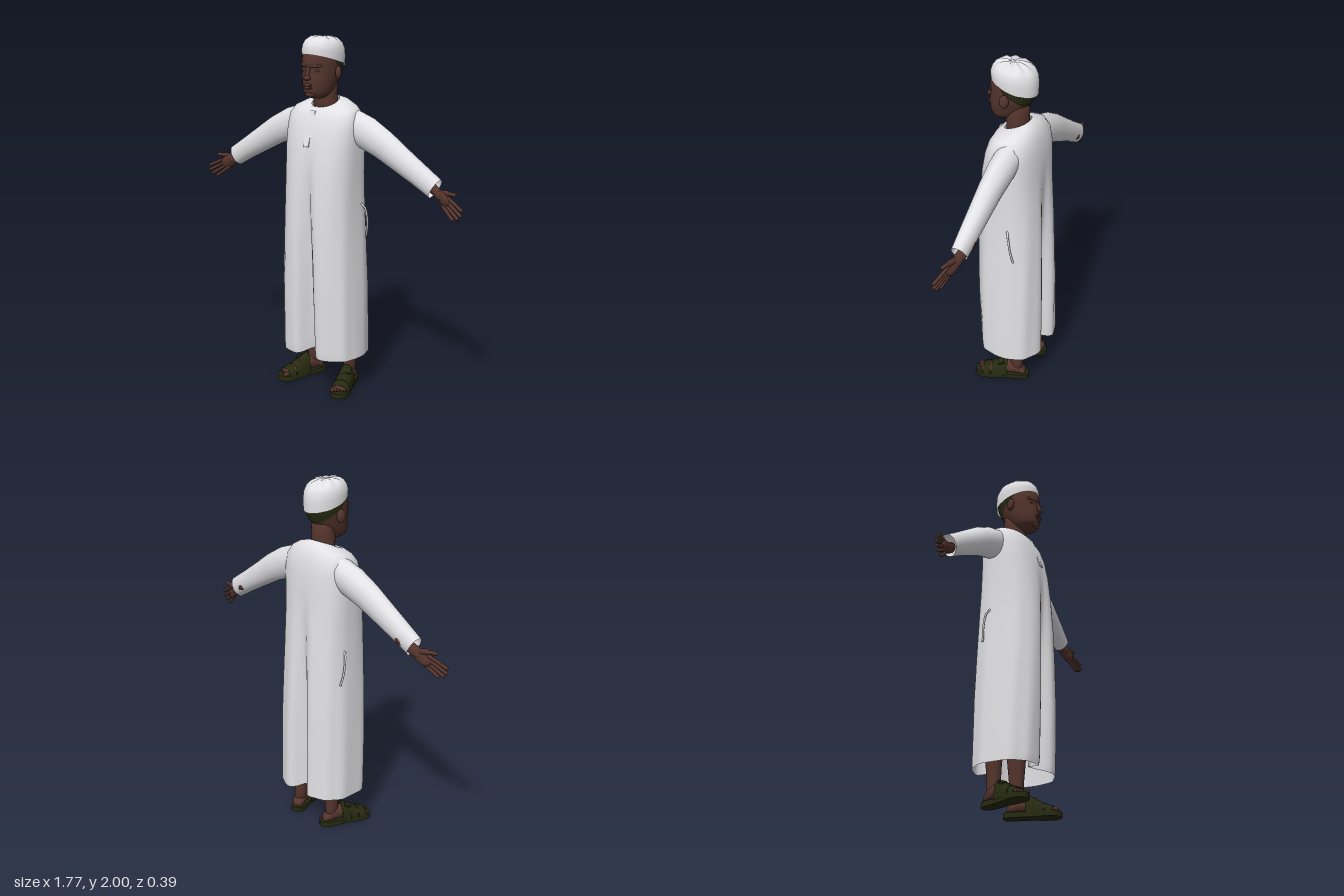
import * as THREE from 'three';

const V = (x, y, z) => new THREE.Vector3(x, y, z);
const mat = (name, color, side = THREE.FrontSide) => {
  const m = new THREE.MeshStandardMaterial({ color, side });
  m.name = name;
  return m;
};

// Surface through a list of equally long point rings
function loft(rings, closed = true) {
  const n = rings[0].length, pos = [], idx = [];
  rings.forEach(r => r.forEach(p => pos.push(p.x, p.y, p.z)));
  for (let i = 0; i < rings.length - 1; i++) {
    for (let j = 0; j < (closed ? n : n - 1); j++) {
      const k = (j + 1) % n, a = i * n, b = a + n;
      idx.push(a + j, b + j, a + k, b + j, b + k, a + k);
    }
  }
  const g = new THREE.BufferGeometry();
  g.setAttribute('position', new THREE.Float32BufferAttribute(pos, 3));
  g.setIndex(idx);
  g.computeVertexNormals();
  return g;
}

// Closes both ends of a ring list
function capped(rings) {
  const end = r => {
    const c = r.reduce((s, p) => s.add(p), V(0, 0, 0)).divideScalar(r.length);
    return r.map(() => c.clone());
  };
  return [end(rings[0]), ...rings, end(rings[rings.length - 1])];
}
const ring = (n, f) => Array.from({ length: n }, (_, j) => f(j / n * Math.PI * 2));

// Horizontal oval: half width, front z, back z, tilt down toward the front
const oval = (n, y, w, zf, zb, tilt = 0) => ring(n, a => {
  const z = (zf + zb) / 2 + (zf - zb) / 2 * Math.sin(a);
  return V(w * Math.cos(a), y - tilt * z, z);
});

// Head profile: y, half width, front z, back z
const HEAD = [
  [1.668, 0.035, 0.115, 0.04], [1.685, 0.062, 0.145, 0.01], [1.71, 0.076, 0.156, -0.02],
  [1.75, 0.086, 0.16, -0.055], [1.79, 0.094, 0.158, -0.075], [1.825, 0.098, 0.152, -0.09],
  [1.855, 0.1, 0.157, -0.097], [1.9, 0.101, 0.15, -0.1], [1.95, 0.09, 0.125, -0.085]];
function headAt(y) {
  let i = 0;
  while (i < HEAD.length - 2 && y > HEAD[i + 1][0]) i++;
  const t = (y - HEAD[i][0]) / (HEAD[i + 1][0] - HEAD[i][0]);
  return HEAD[i].map((v, k) => v + (HEAD[i + 1][k] - v) * t);
}

// Robe profile: y, half width, front z, back z, fold depth, tilt
const ROBE = [
  [0.205, 0.243, 0.188, -0.197, 1, 0], [0.25, 0.243, 0.194, -0.196, 1, 0],
  [0.6, 0.236, 0.205, -0.193, 0.85, 0], [0.85, 0.225, 0.206, -0.186, 0.65, 0],
  [1.05, 0.217, 0.203, -0.178, 0.4, 0], [1.25, 0.215, 0.19, -0.165, 0.15, 0],
  [1.4, 0.222, 0.17, -0.155, 0, 0], [1.5, 0.222, 0.148, -0.153, 0, 0],
  [1.57, 0.214, 0.125, -0.14, 0, 0.05], [1.612, 0.19, 0.105, -0.122, 0, 0.12],
  [1.637, 0.135, 0.085, -0.098, 0, 0.22], [1.645, 0.076, 0.07, -0.066, 0, 0.4]];
const sp = (v, e) => Math.sign(v) * Math.abs(v) ** e;

export function createModel() {
  const root = new THREE.Group();
  root.name = 'robedFigure';
  const cloth = mat('white cloth', 0xe2e2e6, THREE.DoubleSide);
  const skin = mat('brown skin', 0x55352d);
  const dark = mat('dark olive', 0x262a10, THREE.DoubleSide);

  const add = (name, geo, m, parent = root) => {
    const o = new THREE.Mesh(geo, m);
    o.name = name;
    parent.add(o);
    return o;
  };
  const ball = (name, m, p, sx, sy, sz) => {
    const o = add(name, new THREE.SphereGeometry(1, 16, 12), m);
    o.position.copy(p);
    o.scale.set(sx, sy, sz);
    return o;
  };
  const capsule = (name, m, a, b, r, flat = 1) => {
    const d = b.clone().sub(a);
    const o = add(name, new THREE.CapsuleGeometry(r, d.length(), 4, 10), m);
    o.position.copy(a).lerp(b, 0.5);
    o.quaternion.setFromUnitVectors(V(0, 1, 0), d.normalize());
    o.scale.z = flat;
    return o;
  };

  // Long robe with a deep fold between the legs, front and back
  add('robe', loft(ROBE.map(([y, w, zf, zb, fold, tilt]) => ring(96, a => {
    const c = Math.cos(a), s = Math.sin(a);
    const ripple = 1 + 0.012 * fold * Math.cos(11 * a + y * 2);
    const x = w * sp(c, 0.85) * ripple;
    const e = y > 1.6 ? 0.95 : 0.72;
    const notch = fold * Math.exp(-((x / 0.042) ** 2)) * (s > 0 ? 0.11 : 0.09);
    const z = (s > 0 ? zf : -zb) * sp(s, e) * ripple - Math.sign(s) * notch;
    return V(x, y - tilt * z + (y < 0.3 ? notch * 0.25 : 0), z);
  }))), cloth);
  const placket = add('placket', new THREE.BoxGeometry(0.035, 0.2, 0.008), cloth);
  placket.position.set(-0.004, 1.505, 0.139);
  placket.rotation.x = -0.33;

  // Neck and head
  add('neck', loft(capped([
    oval(24, 1.56, 0.075, 0.06, -0.065), oval(24, 1.64, 0.07, 0.062, -0.06),
    oval(24, 1.69, 0.066, 0.07, -0.058), oval(24, 1.78, 0.07, 0.06, -0.06)])), skin);
  add('head', loft(capped(HEAD.map(r => oval(32, ...r)))), skin);
  capsule('noseBridge', skin, V(0, 1.835, 0.15), V(0, 1.79, 0.165), 0.011);
  ball('noseTip', skin, V(0, 1.782, 0.163), 0.022, 0.014, 0.018);
  ball('upperLip', skin, V(0, 1.743, 0.158), 0.03, 0.008, 0.013);
  ball('lowerLip', skin, V(0, 1.729, 0.156), 0.026, 0.008, 0.013);
  ball('chin', skin, V(0, 1.693, 0.135), 0.032, 0.018, 0.02);

  // Hair around the back, its lower edge falling toward the nape
  add('hair', loft([0, 0.35, 0.7, 1].map(t => Array.from({ length: 33 }, (_, j) => {
    const a = Math.PI * (0.9 + 1.2 * j / 32);
    const low = 1.765 + 0.075 * (1 + Math.sin(a)) + (Math.sin(a) > 0 ? 0.1 * Math.sin(a) : 0);
    const y = low + (1.91 - low) * t;
    const [, w, zf, zb] = headAt(y);
    return V((w + 0.005) * Math.cos(a), y, (zf + zb) / 2 + ((zf - zb) / 2 + 0.006) * Math.sin(a));
  })), false), dark);

  // Round cap with pleats gathered at the crown
  add('cap', loft([
    [1.858, 0.107, 0.15, -0.107, -0.32, 0], [1.9, 0.109, 0.151, -0.109, -0.22, 0],
    [1.935, 0.106, 0.143, -0.105, -0.15, 0], [1.963, 0.094, 0.126, -0.09, -0.13, 0.001],
    [1.982, 0.07, 0.1, -0.058, -0.1, 0.004], [1.99, 0.038, 0.066, -0.02, -0.07, 0.004],
    [1.992, 0.001, 0.025, 0.023, 0, 0]
  ].map(([y, w, zf, zb, tilt, pleat]) => {
    const r = oval(54, y, w, zf, zb, tilt);
    r.forEach((p, j) => { p.y += pleat * Math.cos(j / 54 * Math.PI * 18); });
    return r;
  })), cloth);

  for (const s of [1, -1]) {
    const side = s > 0 ? 'left' : 'right';
    const P = (x, y, z) => V(s * x, y, z);

    // Face and ear
    ball(side + 'Ear', skin, P(0.108, 1.805, 0.03), 0.016, 0.037, 0.025).rotation.y = s * 0.4;
    capsule(side + 'Brow', skin, P(0.02, 1.845, 0.147), P(0.06, 1.848, 0.126), 0.01);
    ball(side + 'Eye', skin, P(0.04, 1.822, 0.134), 0.018, 0.009, 0.01);

    // Tapered sleeve: centre x, y, half height, half depth
    const sleeve = [
      [0.15, 1.53, 0.085, 0.07], [0.25, 1.49, 0.091, 0.07], [0.37, 1.435, 0.081, 0.062],
      [0.5, 1.36, 0.07, 0.055], [0.6, 1.302, 0.063, 0.05], [0.695, 1.245, 0.059, 0.043]
    ].map(([x, y, h, d], i) => ring(28, a => {
      const k = h * Math.cos(a) * (1 + 0.02 * Math.sin(5 * a + i));
      return P(x + 0.51 * k, y + 0.86 * k, -0.028 - s * d * Math.sin(a) * s * s * s);
    }));
    add(side + 'Sleeve', loft(sleeve), cloth);

    // Open hand: u runs toward the fingertips, v toward the thumb
    const H = (u, v) => P(0.69 + 0.84 * u + 0.5 * v, 1.235 - 0.5 * u + 0.86 * v, -0.035 + 0.24 * u);
    capsule(side + 'Wrist', skin, H(-0.08, 0), H(0.04, 0), 0.03, 0.75);
    capsule(side + 'Palm', skin, H(0.055, 0.002), H(0.085, 0.002), 0.038, 0.45);
    [0.182, 0.205, 0.212, 0.2].forEach((len, i) => {
      const v = -0.028 + 0.019 * i;
      capsule(side + 'Finger' + (i + 1), skin, H(0.09, v), H(len, v * 1.35), 0.0095);
    });
    capsule(side + 'ThumbBase', skin, H(0.035, 0.015), H(0.075, 0.045), 0.016, 0.8);
    capsule(side + 'Thumb', skin, H(0.075, 0.045), H(0.115, 0.07), 0.011);

    // Pocket edge on the side of the robe
    add(side + 'PocketEdge', new THREE.TubeGeometry(new THREE.CatmullRomCurve3([
      P(0.212, 1.09, -0.04), P(0.232, 1.06, -0.055), P(0.236, 0.97, -0.07), P(0.222, 0.9, -0.08)
    ]), 12, 0.006, 6), cloth);

    // Lower leg
    add(side + 'Leg', loft(capped([[0.05, 0.034], [0.12, 0.035], [0.2, 0.038], [0.35, 0.05], [0.6, 0.055]]
      .map(([y, r]) => ring(20, a => V(s * 0.13 + r * Math.cos(a), y, -0.055 + r * 1.1 * Math.sin(a)))))), skin);

    // Foot and sandal, turned outward
    const foot = new THREE.Group();
    foot.name = side + 'Foot';
    foot.position.set(s * 0.158, 0, 0.022);
    foot.rotation.y = s * 0.33;
    root.add(foot);

    add('footBody', loft(capped([
      [-0.135, 0.022, 0.03], [-0.12, 0.034, 0.05], [-0.07, 0.037, 0.09], [-0.02, 0.038, 0.085],
      [0.04, 0.042, 0.06], [0.1, 0.044, 0.036], [0.125, 0.04, 0.028]
    ].map(([z, w, h]) => ring(20, a =>
      V(w * Math.cos(a), 0.025 + h / 2 - h / 2 * Math.sin(a), z))))), skin, foot);
    for (let i = 0; i < 5; i++) {
      const toe = add('toe' + (i + 1), new THREE.SphereGeometry(1, 10, 8), skin, foot);
      toe.position.set(-s * (0.032 - 0.016 * i), 0.04, 0.13 - 0.006 * i);
      toe.scale.set(i ? 0.009 : 0.013, 0.012, 0.022);
    }

    const outline = new THREE.Shape(new THREE.SplineCurve([
      [0, -0.155], [0.033, -0.14], [0.04, -0.08], [0.041, 0], [0.053, 0.08], [0.045, 0.135], [0, 0.163],
      [-0.045, 0.135], [-0.053, 0.08], [-0.041, 0], [-0.04, -0.08], [-0.033, -0.14], [0, -0.155]
    ].map(p => new THREE.Vector2(...p))).getPoints(48));
    const sole = new THREE.ExtrudeGeometry(outline, { depth: 0.03, bevelEnabled: false });
    sole.rotateX(Math.PI / 2).translate(0, 0.03, 0);
    add('sole', sole, dark, foot);

    // Straps: z at the back, z at the front, height at each, half width
    [[-0.03, 0.03, 0.115, 0.088, 0.048], [0.025, 0.065, 0.085, 0.068, 0.052],
      [0.075, 0.115, 0.062, 0.047, 0.054]].forEach(([z0, z1, h0, h1, w], i) => {
      const arc = (z, h, k) => Array.from({ length: 17 }, (_, j) => {
        const a = Math.PI * j / 16;
        return V(w * k * Math.cos(a), 0.018 + h * k * sp(Math.sin(a), 0.75), z);
      });
      add('strap' + (i + 1), loft([arc(z0, h0, 0.9), arc(z0, h0, 1), arc(z1, h1, 1), arc(z1, h1, 0.9)], false), dark, foot);
    });
    const buckle = add('buckle', new THREE.BoxGeometry(0.03, 0.012, 0.036), dark, foot);
    buckle.position.set(s * 0.02, 0.108, 0.008);
    buckle.rotation.set(0.4, 0, -s * 0.35);
  }
  return root;
}
